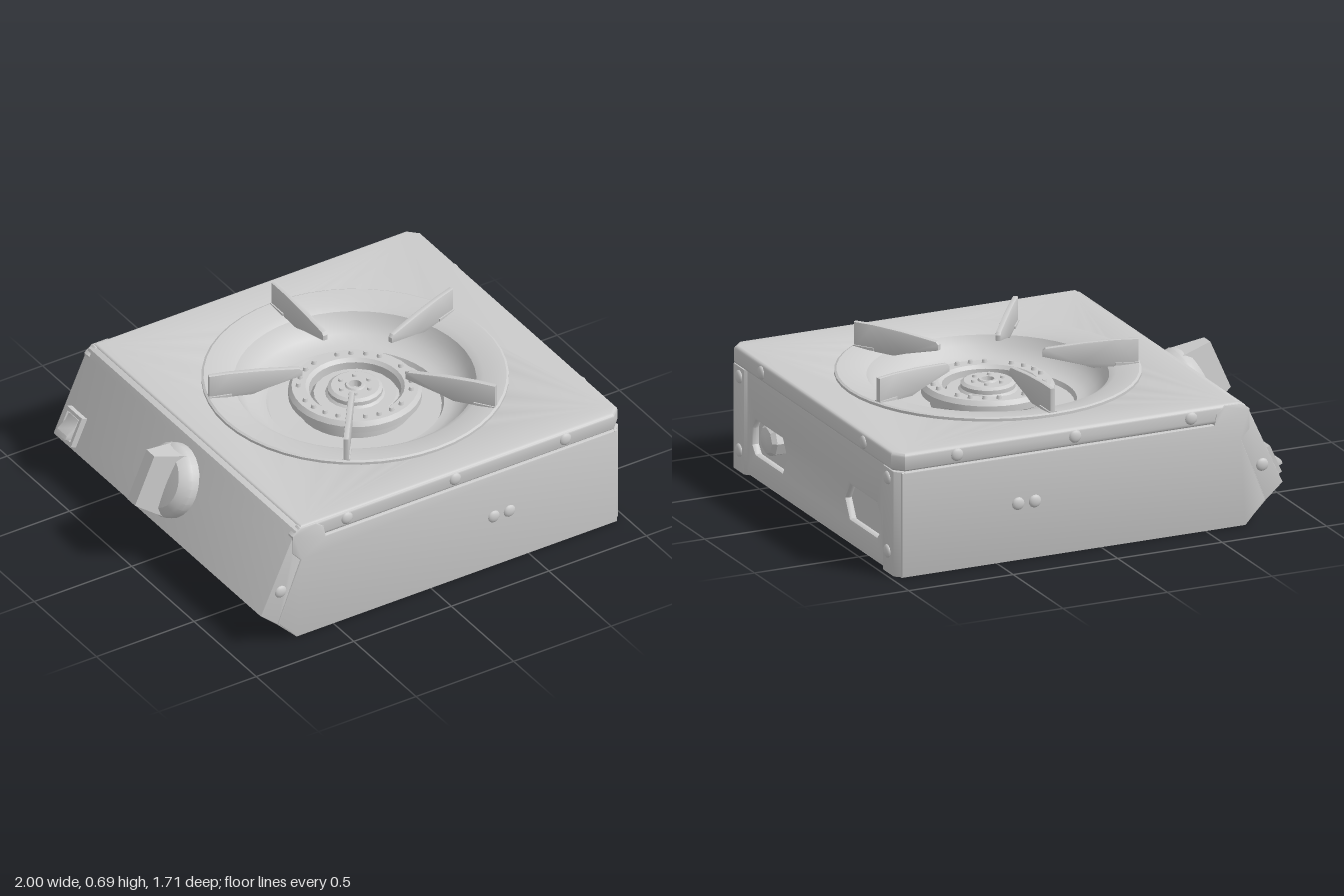
import * as THREE from 'three';
import { toCreasedNormals } from 'three/addons/utils/BufferGeometryUtils.js';

const mat = new THREE.MeshStandardMaterial({ color: 0xcccccc });
const matDouble = new THREE.MeshStandardMaterial({ color: 0xcccccc, side: THREE.DoubleSide });

function add(parent, name, geo, x = 0, y = 0, z = 0, m = mat) {
  const mesh = new THREE.Mesh(geo, m);
  mesh.name = name;
  mesh.position.set(x, y, z);
  parent.add(mesh);
  return mesh;
}
const v2 = (pts) => pts.map(([a, b]) => new THREE.Vector2(a, b));

// Extruded outline filling 0..depth, with bevelled edges kept inside the outline
function slab(pts, depth, bevel = 0.006, holes = [], segs = 2) {
  const shape = new THREE.Shape(v2(pts));
  shape.holes = holes;
  const geo = new THREE.ExtrudeGeometry(shape, {
    depth: depth - 2 * bevel, bevelThickness: bevel, bevelSize: bevel,
    bevelOffset: -bevel, bevelSegments: segs, curveSegments: 24,
  });
  geo.translate(0, 0, bevel);
  return toCreasedNormals(geo, 0.6);
}
const lathe = (pts, n = 40) => toCreasedNormals(new THREE.LatheGeometry(v2(pts), n), 0.5);

// Box whose top face is narrowed by kx, kz; stands on its local y = 0
function taperBox(w, h, d, kx, kz) {
  const geo = new THREE.BoxGeometry(w, h, d, 1, 1, 1).translate(0, h / 2, 0);
  const p = geo.attributes.position;
  for (let i = 0; i < p.count; i++) {
    if (p.getY(i) > h / 2) p.setXYZ(i, p.getX(i) * kx, h, p.getZ(i) * kz);
  }
  geo.computeVertexNormals();
  return geo;
}

// Domed rivet head with its axis along the given direction
const rivetGeo = new THREE.SphereGeometry(0.03, 14, 5, 0, Math.PI * 2, 0, Math.PI / 2).scale(1, 0.5, 1);
function rivet(parent, x, y, z, dir) {
  const r = add(parent, 'rivet', rivetGeo, x, y, z);
  r.quaternion.setFromUnitVectors(new THREE.Vector3(0, 1, 0), new THREE.Vector3(...dir));
}

function buildBody(g) {
  // Side panels with the raised tab near the control panel
  const side = [[-0.69, 0], [0.955, 0], [0.955, 0.478], [-0.54, 0.478], [-0.55, 0.53], [-0.59, 0.56],
    [-0.67, 0.56], [-0.71, 0.53], [-0.71, 0.44], [-0.67, 0.395], [-0.785, 0.105]];
  const post = (s) => [[0.94, s * 0.84], [0.98, s * 0.805], [0.98, s * 0.7], [0.96, s * 0.68], [0.94, s * 0.68]];
  for (const s of [1, -1]) {
    add(g, 'sidePanel', slab(side, 0.04), 0, 0, s > 0 ? 0.8 : -0.84);
    add(g, 'cornerPost', slab(post(s), 0.48, 0.004).rotateX(-Math.PI / 2));
    for (const x of [-0.43, 0.125, 0.69]) rivet(g, x, 0.525, s * 0.833, [0, 0, s]);
    for (const x of [0.32, 0.4]) rivet(g, x, 0.26, s * 0.838, [0, 0, s]);
    rivet(g, -0.77, 0.265, s * 0.833, [0, 0, s]);
    for (const y of [0.1, 0.435]) rivet(g, 0.98, y, s * 0.745, [1, 0, 0]);
    rivet(g, 0.984, 0.525, s * 0.513, [1, 0, 0]);
  }

  // Sloping control panel
  const slope = [[-0.6, 0.56], [-0.66, 0.56], [-0.69, 0.55], [-0.71, 0.52], [-0.87, 0.17], [-0.79, 0.1],
    [-0.69, 0], [-0.64, 0.02], [-0.74, 0.2], [-0.6, 0.48]];
  add(g, 'controlPanel', slab(slope, 1.67, 0.006), 0, 0, -0.835);

  // Lid with chamfered corners and a round opening
  const opening = new THREE.Path().absarc(0.145, 0, 0.59, 0, Math.PI * 2, true);
  const lid = [[-0.67, -0.836], [0.94, -0.836], [0.985, -0.79], [0.985, 0.79], [0.94, 0.836], [-0.67, 0.836]];
  add(g, 'lid', slab(lid, 0.085, 0.018, [opening], 4).rotateX(-Math.PI / 2), 0, 0.48, 0);

  // End panel with two hexagonal hand holes
  const hole = (s) => new THREE.Path(v2([[0.295, 0.2], [0.34, 0.275], [0.61, 0.275], [0.64, 0.23],
    [0.64, 0.155], [0.61, 0.12], [0.34, 0.12]].map(([u, y]) => [s * u, y])));
  add(g, 'endPanel', slab([[-0.7, 0.01], [0.7, 0.01], [0.7, 0.485], [-0.7, 0.485]], 0.04, 0.015,
    [hole(1), hole(-1)]).rotateY(Math.PI / 2), 0.93, 0, 0);
  add(g, 'innerWall', new THREE.BoxGeometry(0.01, 0.46, 1.6), 0.865, 0.25, 0);

  // Valve end seen through one hand hole
  add(g, 'valve', lathe([[0.075, 0], [0.075, 0.05], [0.06, 0.07], [0.03, 0.082], [0, 0.085]], 8)
    .rotateZ(-Math.PI / 2), 0.87, 0.195, 0.56);

  // Floor and canister bay door
  add(g, 'floor', new THREE.BoxGeometry(1.63, 0.02, 1.62), 0.145, 0.013, 0);
  add(g, 'bayDoor', new THREE.BoxGeometry(0.78, 0.01, 1.28), 0.545, 0.005, 0.06);
}

function buildBurner(g) {
  const hob = new THREE.Group();
  hob.name = 'hob';
  hob.position.x = 0.145;
  g.add(hob);

  // Drip bowl with raised rim
  add(hob, 'dripBowl', lathe([[0.665, 0.56], [0.665, 0.577], [0.655, 0.582], [0.555, 0.572], [0.525, 0.555],
    [0.505, 0.515], [0.47, 0.475], [0.42, 0.45], [0.385, 0.445], [0.375, 0.425], [0.24, 0.42], [0, 0.42]], 48),
  0, 0, 0, matDouble);

  // Outer flame ring and inner cap
  add(hob, 'burnerRing', lathe([[0.25, 0.41], [0.25, 0.455], [0.29, 0.475], [0.29, 0.505], [0.275, 0.525],
    [0.215, 0.525], [0.2, 0.51], [0.2, 0.42]], 32), 0, 0, 0, matDouble);
  add(hob, 'burnerCap', lathe([[0.195, 0.41], [0.195, 0.47], [0.18, 0.49], [0.13, 0.49], [0.12, 0.5],
    [0.12, 0.518], [0.105, 0.528], [0.045, 0.528], [0.04, 0.535], [0.028, 0.535], [0.024, 0.505], [0, 0.505]], 20));
  const nub = new THREE.CylinderGeometry(0.009, 0.014, 0.02, 8);
  for (let i = 0; i < 6; i++) {
    const a = (i + 0.5) * Math.PI / 3;
    add(hob, 'capPort', nub, Math.sin(a) * 0.07, 0.528, Math.cos(a) * 0.07);
  }

  // Five pot supports, with four flame ports between each pair
  const blade = [[0.4, 0.584], [0.46, 0.565], [0.655, 0.572], [0.655, 0.69], [0.56, 0.69], [0.42, 0.682],
    [0.25, 0.663], [0.238, 0.65], [0.238, 0.625]];
  for (let i = 0; i < 5; i++) {
    const sector = new THREE.Group();
    sector.name = 'potSupportSector';
    sector.rotation.y = Math.PI / 2 + i * Math.PI * 2 / 5;
    hob.add(sector);
    add(sector, 'potSupport', slab(blade, 0.024, 0.004), 0, 0, -0.012);
    add(sector, 'supportFoot', new THREE.BoxGeometry(0.1, 0.012, 0.036), 0.605, 0.58, 0);
    for (const deg of [14, 28.5, 43.5, 58]) {
      const a = THREE.MathUtils.degToRad(deg);
      add(sector, 'flamePort', nub, Math.cos(a) * 0.245, 0.53, Math.sin(a) * 0.245);
    }
  }
}

function buildControls(g) {
  // Local y points out of the sloping panel, local x runs up it
  const panel = new THREE.Group();
  panel.name = 'controls';
  panel.position.set(-0.78, 0.37, 0);
  panel.rotation.z = 1.153;
  g.add(panel);

  add(panel, 'knobBase', lathe([[0.165, -0.02], [0.165, 0.035], [0.155, 0.055], [0.125, 0.08], [0, 0.09]], 28));
  add(panel, 'knobGrip', taperBox(0.3, 0.155, 0.125, 0.81, 0.5), 0, 0.035, 0);

  // Igniter switch
  const d = 0.062;
  for (const s of [1, -1]) {
    add(panel, 'switchFrameEnd', new THREE.BoxGeometry(0.015, 0.035, 0.12), -0.13 + s * d, 0.012, -0.725);
    add(panel, 'switchFrameSide', new THREE.BoxGeometry(0.14, 0.035, 0.015), -0.13, 0.012, -0.725 + s * 0.053);
  }
  add(panel, 'switchRocker', slab([[-0.05, 0], [0.05, 0], [0.05, 0.025], [0.01, 0.03], [-0.03, 0.055], [-0.05, 0.055]],
    0.08, 0.004), -0.13, 0, -0.765);
}

export function createModel() {
  const g = new THREE.Group();
  g.name = 'portableStove';
  buildBody(g);
  buildBurner(g);
  buildControls(g);
  return g;
}
